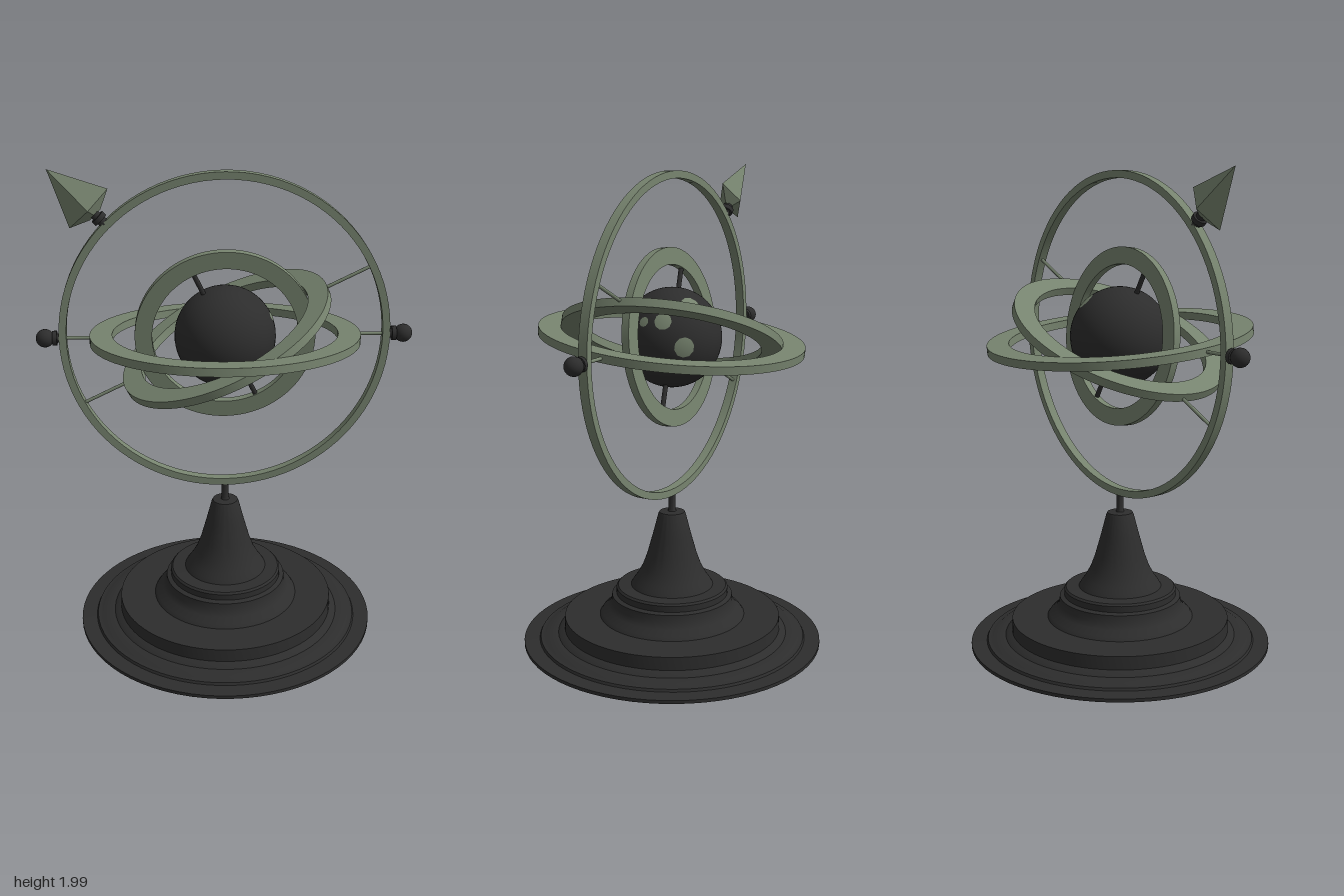
import * as THREE from 'three';
import { toCreasedNormals } from 'three/addons/utils/BufferGeometryUtils.js';

export function createModel() {
  const model = new THREE.Group();
  model.name = 'armillarySphere';
  const bronze = new THREE.MeshStandardMaterial({ color: 0x77846f });
  bronze.name = 'verdigrisBronze';
  const iron = new THREE.MeshStandardMaterial({ color: 0x2d2d2d, side: THREE.DoubleSide });
  iron.name = 'darkIron';

  const add = (parent, name, geometry, material) => {
    const mesh = new THREE.Mesh(geometry, material);
    mesh.name = name;
    parent.add(mesh);
    return mesh;
  };
  const lathe = (points, segments) =>
    toCreasedNormals(new THREE.LatheGeometry(points.map(([x, y]) => new THREE.Vector2(x, y)), segments), 0.5);
  // Flat band with a rectangular section, lying in the xz plane
  const band = (outer, inner, thick) => {
    const h = thick / 2;
    return lathe([[outer, -h], [outer, h], [inner, h], [inner, -h], [outer, -h]], 96);
  };
  // Round bar along y from one height to another
  const bar = (radius, from, to) =>
    new THREE.CylinderGeometry(radius, radius, to - from, 12).translate(0, (from + to) / 2, 0);

  // Hollow stepped pedestal
  add(model, 'pedestal', lathe([
    [0.635, 0], [0.635, 0.014], [0.57, 0.016], [0.565, 0.026], [0.545, 0.028], [0.535, 0.034],
    [0.49, 0.036], [0.48, 0.045], [0.462, 0.055], [0.46, 0.11], [0.31, 0.11], [0.3, 0.125],
    [0.275, 0.145], [0.26, 0.17], [0.257, 0.2], [0.238, 0.206], [0.238, 0.232], [0.23, 0.24],
    [0.175, 0.242], [0.165, 0.26], [0.15, 0.28], [0.125, 0.325], [0.105, 0.38], [0.08, 0.47],
    [0.058, 0.555], [0.053, 0.565], [0.018, 0.568], [0.015, 0.575], [0.015, 0.648],
  ], 72), iron);

  const sphere = new THREE.Group();
  sphere.name = 'ringAssembly';
  sphere.position.y = 1.31;
  model.add(sphere);

  // Upright outer ring and the nearly level horizon ring
  add(sphere, 'meridianRing', band(0.668, 0.638, 0.038), bronze).rotation.x = Math.PI / 2;
  add(sphere, 'horizonRing', band(0.545, 0.455, 0.033), bronze).rotation.x = -0.1;

  // Inner rings and globe axis share a slight lean
  const inner = new THREE.Group();
  inner.name = 'innerRings';
  inner.rotation.x = 0.1;
  sphere.add(inner);
  add(inner, 'uprightRing', band(0.365, 0.295, 0.032), bronze).rotation.x = Math.PI / 2;
  add(inner, 'eclipticRing', band(0.455, 0.37, 0.034), bronze).rotation.z = 0.44;
  add(inner, 'globeAxis', bar(0.01, -0.31, 0.31), iron).rotation.z = 0.44;

  // Globe with land patches
  add(sphere, 'globe', new THREE.SphereGeometry(0.205, 48, 32), iron);
  const up = new THREE.Vector3(0, 1, 0);
  for (const [x, y, z, size] of [
    [0.34, 0.72, -0.6, 0.2], [0.85, 0.45, -0.27, 0.17],
    [0.73, -0.04, -0.67, 0.2], [0.9, 0.42, 0.12, 0.1],
  ]) {
    const patch = add(sphere, 'landPatch', new THREE.SphereGeometry(0.2065, 10, 4, 0, Math.PI * 2, 0, size), bronze);
    patch.quaternion.setFromUnitVectors(up, new THREE.Vector3(x, y, z).normalize());
  }

  // Mirrored pivots, struts and knobs
  for (const side of [-1, 1]) {
    const pivot = new THREE.Group();
    pivot.name = side > 0 ? 'leftPivot' : 'rightPivot';
    pivot.rotation.z = -side * Math.PI / 2;
    sphere.add(pivot);
    add(pivot, 'pivotRod', bar(0.007, 0.5, 0.65), bronze);
    add(pivot, 'collar', bar(0.03, 0.676, 0.694), iron);
    add(pivot, 'knobStem', bar(0.018, 0.66, 0.72), iron);
    add(pivot, 'knob', new THREE.SphereGeometry(0.037, 20, 14).translate(0, 0.724, 0), iron);
    add(sphere, 'eclipticStrut', bar(0.007, 0.42, 0.65), bronze).rotation.z = 0.455 - side * Math.PI / 2;
  }

  // Arrowhead outside the meridian ring
  const arrow = new THREE.Group();
  arrow.name = 'arrow';
  arrow.rotation.z = Math.PI / 4;
  sphere.add(arrow);
  const facets = (top, bottom, from, to) =>
    toCreasedNormals(new THREE.CylinderGeometry(top, bottom, to - from, 4)
      .scale(1, 1, 0.45).translate(0, (from + to) / 2, 0), 0.1);
  add(arrow, 'arrowTip', facets(0, 0.108, 0.745, 0.962), bronze);
  add(arrow, 'arrowBack', facets(0.108, 0.03, 0.71, 0.745), bronze);
  add(arrow, 'arrowNeck', bar(0.02, 0.66, 0.715), iron);
  add(arrow, 'arrowCollar', bar(0.03, 0.68, 0.7), iron);
  return model;
}
